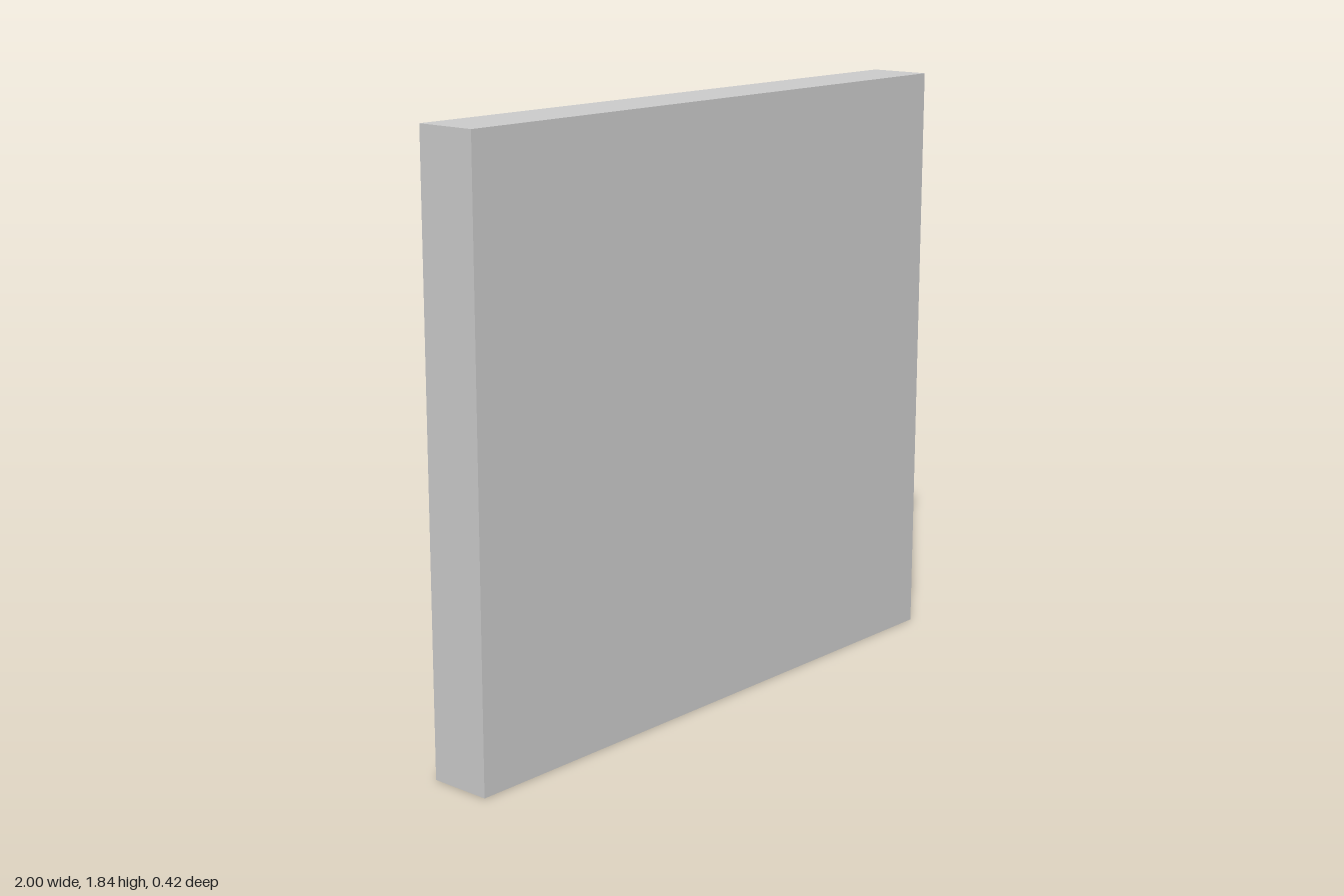
import * as THREE from 'three';

const grey = new THREE.MeshStandardMaterial({ color: 0xcccccc });
const green = new THREE.MeshStandardMaterial({ color: 0x9aac94 });
const dark = new THREE.MeshStandardMaterial({ color: 0x27322f });
const wood = new THREE.MeshStandardMaterial({ color: 0xb8944f });

function add(parent, name, geometry, material, x, y, z) {
  const mesh = new THREE.Mesh(geometry, material);
  mesh.name = name;
  mesh.position.set(x, y, z);
  parent.add(mesh);
  return mesh;
}

export function createModel() {
  const model = new THREE.Group();
  model.name = 'pegboardWall';

  // Thick wall slab, with the board mounted on its back face
  add(model, 'wall', new THREE.BoxGeometry(2, 1.84, 0.195), grey, 0, 0.92, 0.1125);
  add(model, 'board', new THREE.BoxGeometry(1.76, 1.58, 0.012), green, 0, 0.92, 0.014);

  // Grid of small dark studs
  const studs = new THREE.Group();
  studs.name = 'studs';
  model.add(studs);
  const studGeometry = new THREE.CylinderGeometry(0.011, 0.011, 0.012, 12).rotateX(Math.PI / 2);
  for (let row = 0; row < 10; row++) {
    for (let col = 0; col < 14; col++) {
      add(studs, 'stud', studGeometry, dark, (col - 6.5) * 0.1146, 0.333 + row * 0.1308, 0.006);
    }
  }

  // Long pegs in a zigzag of two heights
  const pegs = new THREE.Group();
  pegs.name = 'pegs';
  model.add(pegs);
  const pegGeometry = new THREE.CylinderGeometry(0.011, 0.011, 0.225, 12).rotateX(Math.PI / 2);
  for (let i = 0; i < 6; i++) {
    add(pegs, 'peg', pegGeometry, wood, -0.642 + i * 0.2555, i % 2 ? 0.847 : 0.702, -0.0975);
  }

  // Round rail under the board
  const railGeometry = new THREE.CylinderGeometry(0.01, 0.01, 1.68, 12).rotateZ(Math.PI / 2);
  add(model, 'rail', railGeometry, wood, 0, 0.087, 0.007);

  return model;
}
